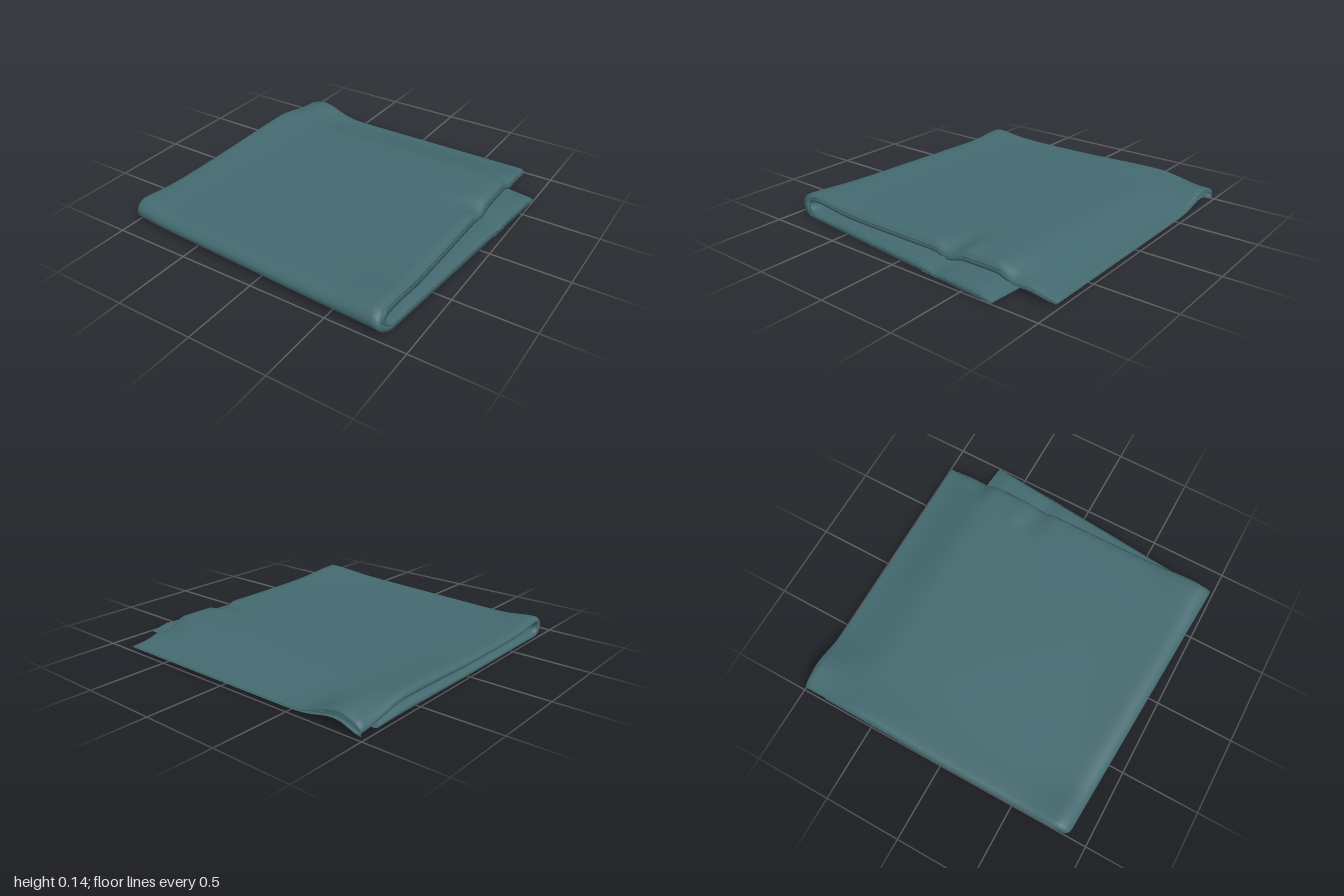
import * as THREE from 'three';

const { lerp: mix, smoothstep } = THREE.MathUtils;
const bump = (d, w) => Math.exp(-(d * d) / (w * w));

// Wedge-shaped crumple running in from the right hem
const crumple = (x, z, x0, z0, w) =>
  Math.max(0, (x - x0) / (0.8 - x0)) * Math.max(0, 1 - Math.abs(z - z0) / w);

// Height of the top of the folded stack: raised rims, a sagging middle, a drooping back hem
function stackHeight(x, z) {
  let h = 0.108 + 0.006 * x;
  h += bump(x + 0.97, 0.16) * (0.012 + 0.018 * bump(z + 0.55, 0.4) + 0.02 * bump(z - 0.87, 0.25));
  h += 0.012 * bump(z - 0.87, 0.2);
  h += 0.018 * bump(x - 0.8, 0.25) * bump(z - 0.9, 0.35);
  h += 0.014 * bump(z + 0.55, 0.3) * bump(x - 0.5, 0.5);
  h -= 0.05 * crumple(x, z, 0.64, -0.72, 0.11);
  h -= 0.045 * crumple(x, z, 0.58, -0.26, 0.1);
  h += 0.012 * bump(x - 0.68, 0.06) * bump(z + 0.38, 0.06);
  const backHem = 0.032 + 0.083 * bump(x + 0.84, 0.17);
  return mix(h, backHem, smoothstep(-z, 0.6, 0.99));
}

// One point of the cloth. f: left to right, k: depth into the stack,
// s: position from back to front, angle: 0 on the top half, PI on the bottom half
function clothPoint(f, k, s, angle, inset, hem) {
  const w = angle / Math.PI;
  const back = mix(-0.985, -0.7 - 0.15 * (1 - f), w) + inset;
  const front = 0.935 + 0.055 * mix(-1, 0.8, f) - inset;
  const z = mix(back, front - 0.1, s) + (0.1 - 0.075 * k) * Math.sin(angle);
  const right = mix(0.79 + 0.035 * k, 0.845 + 0.096 * (0.93 - z) - 0.03 * k, w);
  const left = -1 + 0.012 * Math.max(0, -z) + inset;
  const x = mix(left, right, f);
  const c = stackHeight(x, z) / 2;
  // The back left corner sags down to the ground
  const sag = 0.8 * (1 - w) * bump(x + 1, 0.12) * bump(z + 1, 0.15);
  const spread = mix(0.85, 0.6, bump(z - 0.8, 0.15)) * (1 - 0.3 * w * f) + sag;
  return [x, c + c * (1 - spread * Math.min(1, k + hem)) * Math.cos(angle), z];
}

// A sheet folded in half at the left, then folded again at the front
function foldedSheet(name, k0, k1, inset, material) {
  const across = [];
  const n = 40, arc = 8, edge = 0.022;
  across.push([1, mix(k0, k1, 0.45)]);
  for (let i = 0; i <= n; i++) across.push([mix(1, edge, i / n), k0]);
  for (let i = 1; i < arc; i++) {
    const a = (i / arc) * Math.PI;
    across.push([edge * (1 - Math.sin(a)), mix(k0, k1, (1 - Math.cos(a)) / 2)]);
  }
  for (let i = 0; i <= n; i++) across.push([mix(edge, 1, i / n), k1]);
  across.push([1, mix(k0, k1, 0.7)]);

  const along = [[0, 0, 0.4]];
  const m = 48, turn = 10;
  for (let j = 0; j <= m; j++) along.push([j / m, 0, 0]);
  for (let j = 1; j < turn; j++) along.push([1, (j / turn) * Math.PI, 0]);
  for (let j = m; j >= 0; j--) along.push([j / m, Math.PI, 0]);

  const positions = [], index = [], cols = along.length;
  across.forEach(([f, k], i) => along.forEach(([s, angle, hem], j) => {
    positions.push(...clothPoint(f, k, s, angle, inset, hem));
    if (i && j) {
      const d = i * cols + j, b = d - cols;
      index.push(b - 1, d - 1, b, b, d - 1, d);
    }
  }));
  const geometry = new THREE.BufferGeometry();
  geometry.setAttribute('position', new THREE.Float32BufferAttribute(positions, 3));
  geometry.setIndex(index);
  geometry.computeVertexNormals();
  const mesh = new THREE.Mesh(geometry, material);
  mesh.name = name;
  return mesh;
}

export function createModel() {
  const group = new THREE.Group();
  group.name = 'foldedBlanket';
  const cloth = new THREE.MeshStandardMaterial({ color: 0x43696f, side: THREE.DoubleSide });
  group.add(foldedSheet('outerFold', 0, 1, 0, cloth));
  // Inner layers seen between the open edges
  group.add(foldedSheet('innerFold', 0.33, 0.67, 0.025, cloth));
  return group;
}
